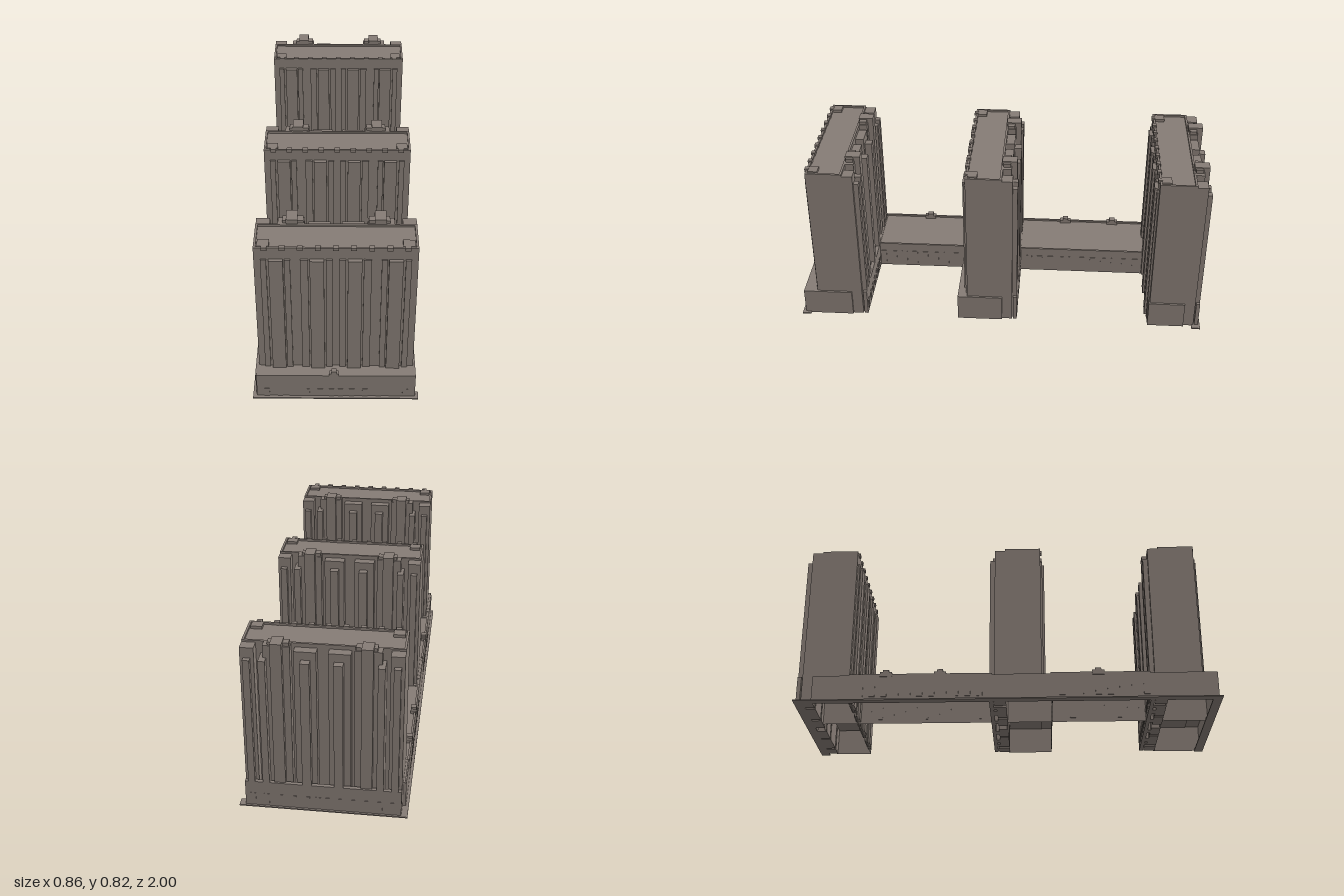
import * as THREE from 'three';

const concrete = new THREE.MeshStandardMaterial({ color: 0x867c75, side: THREE.DoubleSide });
concrete.name = 'concrete';

// Box from min/max bounds; open = no underside
function block(parent, name, x0, x1, y0, y1, z0, z1, open = false) {
  const g = new THREE.BoxGeometry(x1 - x0, y1 - y0, z1 - z0);
  if (open) {
    const ix = Array.from(g.index.array);
    ix.splice(18, 6);
    g.setIndex(ix);
    g.clearGroups();
  }
  const m = new THREE.Mesh(g, concrete);
  m.name = name;
  m.position.set((x0 + x1) / 2, (y0 + y1) / 2, (z0 + z1) / 2);
  parent.add(m);
  return m;
}

// Same block on both halves of the tower
function pair(parent, name, x0, x1, y0, y1, z0, z1) {
  block(parent, name, x0, x1, y0, y1, z0, z1);
  block(parent, name, -x1, -x0, y0, y1, z0, z1);
}

const POD = 0.13, ROOF = 0.79;

function tower(name, z, ledge) {
  const t = new THREE.Group();
  t.name = name;
  t.position.z = z;

  // podium and slab block
  block(t, 'podium', -0.355, 0.355, 0, POD, -0.085, ledge, true);
  block(t, 'rearPodiumWall', -0.345, 0.345, 0, POD, -0.158, -0.14);
  block(t, 'towerBody', -0.345, 0.345, 0.125, ROOF, -0.085, 0.085);

  // front bays: wide and narrow, mirrored
  const low = ledge > 0.1 ? POD : 0.01;
  for (const [a, b] of [[0.222, 0.282], [0.05, 0.11]])
    pair(t, 'wideFrontBay', a, b, low, 0.742, 0.08, 0.103);
  for (const [a, b] of [[0.292, 0.317], [0.192, 0.217], [0.117, 0.15], [0.015, 0.042]])
    pair(t, 'narrowFrontBay', a, b, low, 0.742, 0.08, 0.094);

  // rear bays, stair cores and fins
  pair(t, 'rearEndBay', 0.285, 0.345, 0, ROOF, -0.135, -0.08);
  pair(t, 'rearEndFin', 0.3, 0.33, 0, 0.742, -0.158, -0.13);
  pair(t, 'stairCore', 0.165, 0.215, 0, 0.822, -0.15, -0.08);
  pair(t, 'coreShoulder', 0.135, 0.25, 0, 0.8, -0.125, -0.08);
  pair(t, 'coreHead', 0.14, 0.23, 0.785, 0.815, -0.12, -0.085);
  pair(t, 'rearFin', 0.235, 0.265, 0, 0.742, -0.158, -0.08);
  pair(t, 'rearMiddleBay', 0.025, 0.12, 0, 0.78, -0.125, -0.08);
  pair(t, 'rearMiddleFin', 0.05, 0.09, 0, 0.742, -0.158, -0.12);

  // parapet
  for (const s of [-1, 1]) {
    block(t, 'longParapet', -0.345, 0.345, ROOF, 0.799, s * 0.08 - 0.005, s * 0.08 + 0.005);
    block(t, 'endParapet', s * 0.34 - 0.005, s * 0.34 + 0.005, ROOF, 0.799, -0.085, 0.085);
  }
  pair(t, 'cornerBox', 0.28, 0.33, ROOF, 0.803, 0.03, 0.075);
  for (let i = -4; i <= 4; i++)
    block(t, 'parapetPost', i * 0.075 - 0.012, i * 0.075 + 0.012, ROOF, 0.805, 0.073, 0.092);

  // ground-floor openings
  for (const x of [0.31, 0.25, 0.19, 0.13, 0.07, 0.02]) {
    if (ledge > 0.1) pair(t, 'frontDoor', x - 0.012, x + 0.012, 0.005, 0.05, ledge - 0.002, ledge + 0.002);
    pair(t, 'rearWindow', x - 0.012, x + 0.012, 0.02, 0.07, -0.16, -0.157);
  }
  return t;
}

export function createModel() {
  const model = new THREE.Group();
  model.name = 'apartmentComplex';
  const plan = new THREE.Group();
  plan.name = 'plan';
  plan.rotation.y = -0.058; // whole site sits slightly turned
  model.add(plan);

  plan.add(tower('frontTower', 0.815, 0.152));
  plan.add(tower('middleTower', 0.075, 0.132));
  plan.add(tower('backTower', -0.815, 0.09));

  // low wing joining the towers
  block(plan, 'lowWing', -0.36, -0.073, 0, POD - 0.004, -0.9, 0.95, true);
  for (const [a, b] of [[-0.73, -0.07], [0.2, 0.66]]) {
    block(plan, 'wingParapet', -0.36, -0.35, POD - 0.01, POD + 0.004, a, b);
    block(plan, 'wingParapet', -0.083, -0.073, POD - 0.01, POD + 0.004, a, b);
    for (let z = a + 0.04; z < b - 0.02; z += 0.055) {
      block(plan, 'wingWindow', -0.363, -0.359, 0.02, 0.07, z, z + 0.027);
      block(plan, 'courtWindow', -0.074, -0.07, 0.02, 0.09, z, z + 0.027);
    }
  }

  // stepped crests over the entrances
  for (const z of [0.42, -0.31, -0.56]) {
    block(plan, 'crestBase', -0.362, -0.335, POD - 0.01, 0.143, z - 0.028, z + 0.028);
    block(plan, 'crestTop', -0.362, -0.335, 0.14, 0.154, z - 0.014, z + 0.014);
  }
  block(plan, 'frontCrestBase', -0.03, 0.012, POD - 0.01, 0.142, 0.945, 0.967);
  block(plan, 'frontCrestTop', -0.02, 0.002, 0.14, 0.154, 0.945, 0.967);

  // pavement strips round the outer edge
  block(plan, 'sidePavement', -0.373, -0.335, 0, 0.006, -0.982, 0.982);
  block(plan, 'frontPavement', -0.335, 0.37, 0, 0.006, 0.94, 0.982);
  block(plan, 'backPavement', -0.335, 0.373, 0, 0.006, -0.982, -0.94);
  return model;
}
